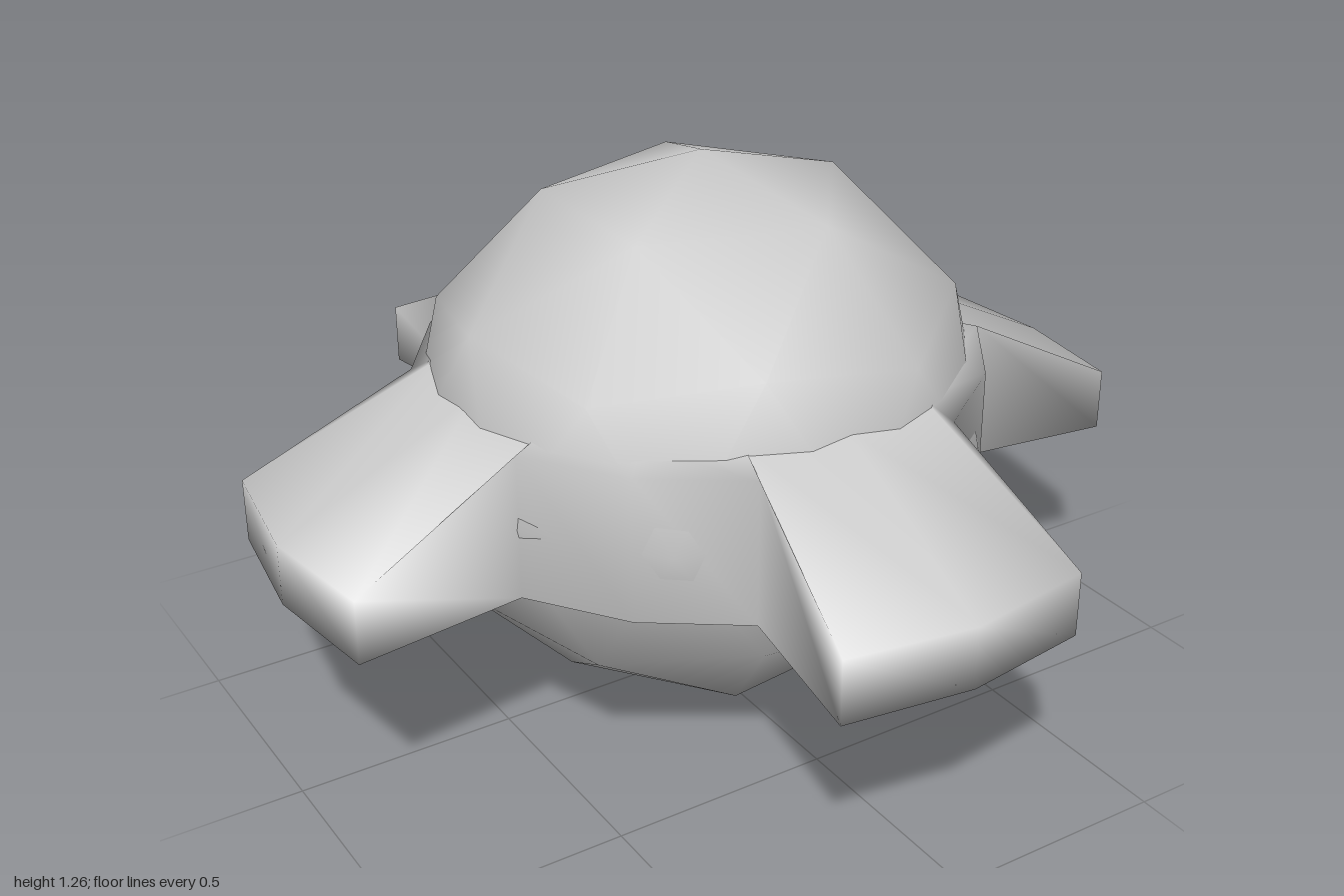
import * as THREE from 'three';
import { mergeVertices } from 'three/addons/utils/BufferGeometryUtils.js';

const OFFSET = 0.015; // the body sits slightly to the left of centre

// Faceted ball with one corner pointing straight up
function createBody(material) {
  const geometry = new THREE.IcosahedronGeometry(0.63, 1);
  geometry.rotateZ(-Math.atan(2 / (1 + Math.sqrt(5))));
  geometry.scale(1.05, 1, 1);
  geometry.translate(OFFSET, 0.63, 0);
  const mesh = new THREE.Mesh(geometry, material);
  mesh.name = 'body';
  return mesh;
}

// Collar around the body with four sloping arms, one quarter repeated by rotation
function createCollar(material) {
  // outline x, z, top height, then the inner point it joins, and collar offset
  const quarter = [
    { p: [-0.24, 0.59], y: 0.8, inner: [-0.22, 0.51], shift: OFFSET },
    { p: [-0.29, 0.96], y: 0.615, inner: [-0.22, 0.51], shift: 0 },
    { p: [0, 1], y: 0.61, inner: [0, 0.555], shift: 0 },
    { p: [0.29, 0.96], y: 0.615, inner: [0.22, 0.51], shift: 0 },
    { p: [0.24, 0.59], y: 0.8, inner: [0.22, 0.51], shift: OFFSET },
    { p: [0.445, 0.445], y: 0.8, inner: [0.39, 0.39], shift: OFFSET },
  ];
  const bottom = 0.47, crest = 0.827;
  const positions = [], index = [];
  const rows = 4, count = quarter.length * 4;

  for (let k = 0; k < 4; k++) {
    const c = Math.round(Math.cos(k * Math.PI / 2));
    const s = Math.round(Math.sin(k * Math.PI / 2));
    const add = ([x, z], y, shift) => positions.push(x * c + z * s + shift, y, z * c - x * s);
    for (const { p, y, inner, shift } of quarter) {
      add(inner, crest, OFFSET);
      add(p, y, shift);
      add(p, bottom, shift);
      add(inner, bottom, OFFSET);
    }
  }
  for (let i = 0; i < count; i++) {
    const a = i * rows, b = ((i + 1) % count) * rows;
    for (let r = 0; r < rows - 1; r++) {
      index.push(a + r, a + r + 1, b + r + 1, a + r, b + r + 1, b + r);
    }
  }
  let geometry = new THREE.BufferGeometry();
  geometry.setAttribute('position', new THREE.Float32BufferAttribute(positions, 3));
  geometry.setIndex(index);
  geometry = mergeVertices(geometry);
  geometry.computeVertexNormals();
  const mesh = new THREE.Mesh(geometry, material);
  mesh.name = 'collarWithArms';
  return mesh;
}

export function createModel() {
  const group = new THREE.Group();
  group.name = 'saucer';
  const material = new THREE.MeshStandardMaterial({ color: 0xcccccc, side: THREE.DoubleSide });
  group.add(createBody(material), createCollar(material));
  return group;
}
